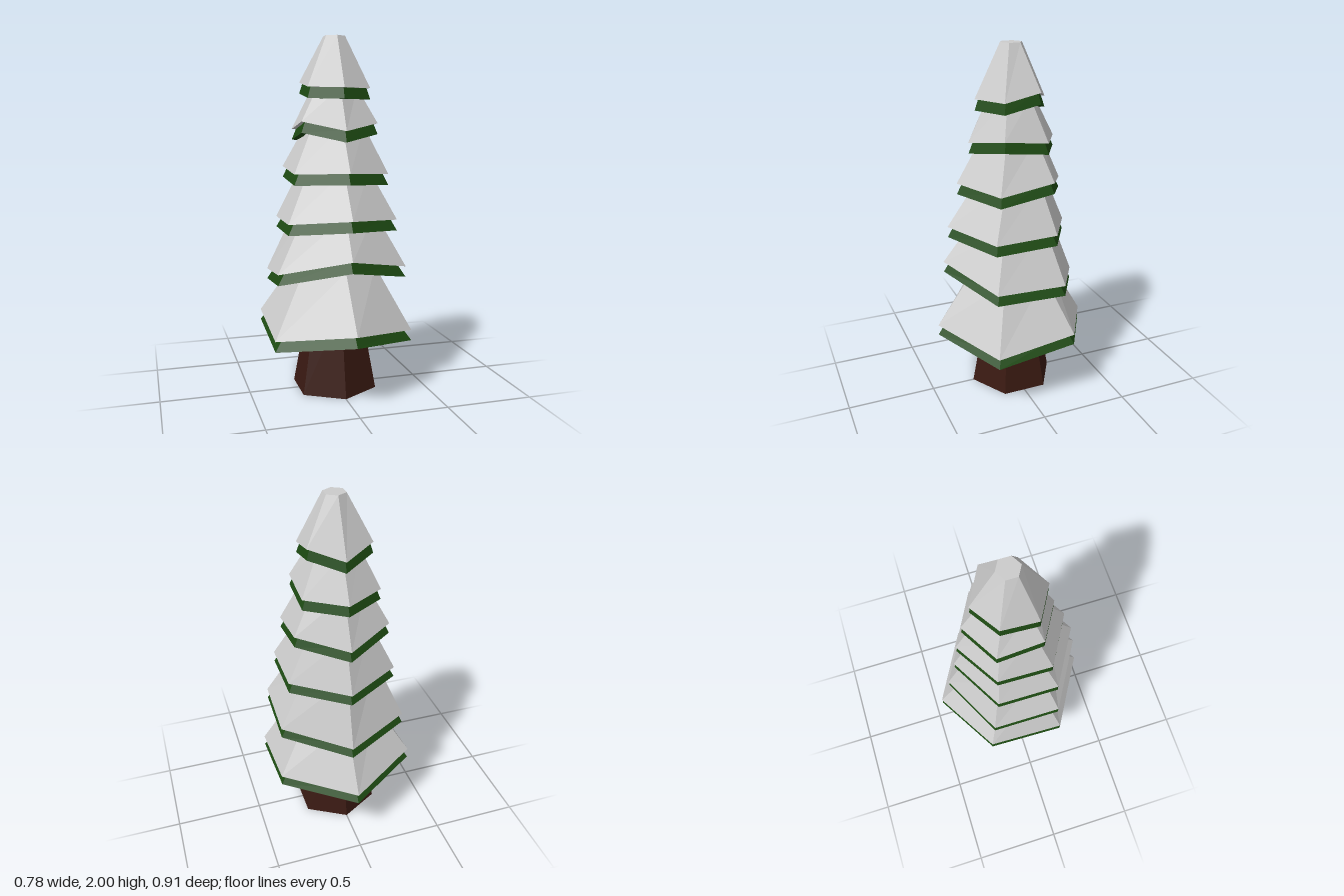
import * as THREE from 'three';

const snowMat = new THREE.MeshStandardMaterial({ color: 0xcccccc, flatShading: true });
const leafMat = new THREE.MeshStandardMaterial({ color: 0x1d4a12, flatShading: true });
const barkMat = new THREE.MeshStandardMaterial({ color: 0x3a1a12, flatShading: true });

const SIDES = 6;
const BAND = 0.06; // height of the green edge under each snow layer

// Six corners, starting at the front and going towards +x
function ring(rx, rz, heights, cx = 0, cz = 0, turn = 0) {
  return Array.from({ length: SIDES }, (_, i) => {
    const a = (i / SIDES) * Math.PI * 2 + turn;
    const y = Array.isArray(heights) ? heights[i] : heights;
    return [cx + Math.sin(a) * rx, y, cz + Math.cos(a) * rz];
  });
}

// Flat-shaded skin over successive rings
function loft(rings) {
  const pos = [];
  for (let k = 0; k < rings.length - 1; k++) {
    for (let i = 0; i < SIDES; i++) {
      const j = (i + 1) % SIDES;
      const [a, b, c, d] = [rings[k][i], rings[k][j], rings[k + 1][j], rings[k + 1][i]];
      pos.push(...a, ...b, ...c, ...a, ...c, ...d);
    }
  }
  const g = new THREE.BufferGeometry();
  g.setAttribute('position', new THREE.Float32BufferAttribute(pos, 3));
  g.computeVertexNormals();
  return g;
}

function part(name, geometry, material) {
  const m = new THREE.Mesh(geometry, material);
  m.name = name;
  return m;
}

// Rim size, offset, turn and corner heights of each layer, then its upper end
const tiers = [
  { rx: 0.453, rz: 0.453, cz: 0, turn: 0, y: [0.42, 0.36, 0.42, 0.36, 0.42, 0.36], topR: 0.24, topY: 0.72 },
  { rx: 0.418, rz: 0.392, cz: 0.012, turn: -0.03, y: [0.81, 0.73, 0.725, 0.65, 0.675, 0.72], topR: 0.235, topY: 1.03 },
  { rx: 0.354, rz: 0.35, cz: 0.026, turn: -0.01, y: [1.02, 0.995, 1.005, 0.975, 0.99, 0.99], topR: 0.2, topY: 1.27 },
  { rx: 0.308, rz: 0.306, cz: 0.011, turn: 0, y: [1.265, 1.245, 1.29, 1.235, 1.28, 1.255], topR: 0.17, topY: 1.51 },
  { rx: 0.249, rz: 0.249, cz: -0.003, turn: 0, y: [1.485, 1.525, 1.495, 1.485, 1.49, 1.535], topR: 0.13, topY: 1.72 },
  { rx: 0.204, rz: 0.202, cz: 0.004, turn: 0, y: [1.715, 1.715, 1.757, 1.705, 1.75, 1.72], topR: 0.062, topY: 2 },
];

function makeTier(t) {
  const group = new THREE.Group();
  const rim = (s, dy) => ring(t.rx * s, t.rz * s, t.y.map((y) => y + dy), 0, t.cz, t.turn);
  const top = (r, y) => ring(r, r, y);

  // Snow: underside lip, slope, flat top
  group.add(part('snow', loft([
    rim(0.78, 0), rim(1, 0), top(t.topR, t.topY), top(0, t.topY),
  ]), snowMat));

  // Foliage: ceiling, inner slope, underside, outer edge
  group.add(part('foliage', loft([
    top(0, t.topY - 0.1), top(t.topR * 0.75, t.topY - 0.1),
    rim(0.82, -BAND), rim(1, -BAND), rim(0.89, 0.005),
  ]), leafMat));
  return group;
}

export function createModel() {
  const model = new THREE.Group();
  model.name = 'snowyTree';

  // Tapered trunk
  const trunk = part('trunk', new THREE.CylinderGeometry(0.152, 0.247, 0.5, SIDES), barkMat);
  trunk.position.y = 0.25;
  model.add(trunk);

  tiers.forEach((t, i) => {
    const tier = makeTier(t);
    tier.name = `branchLayer${i + 1}`;
    model.add(tier);
  });
  return model;
}
